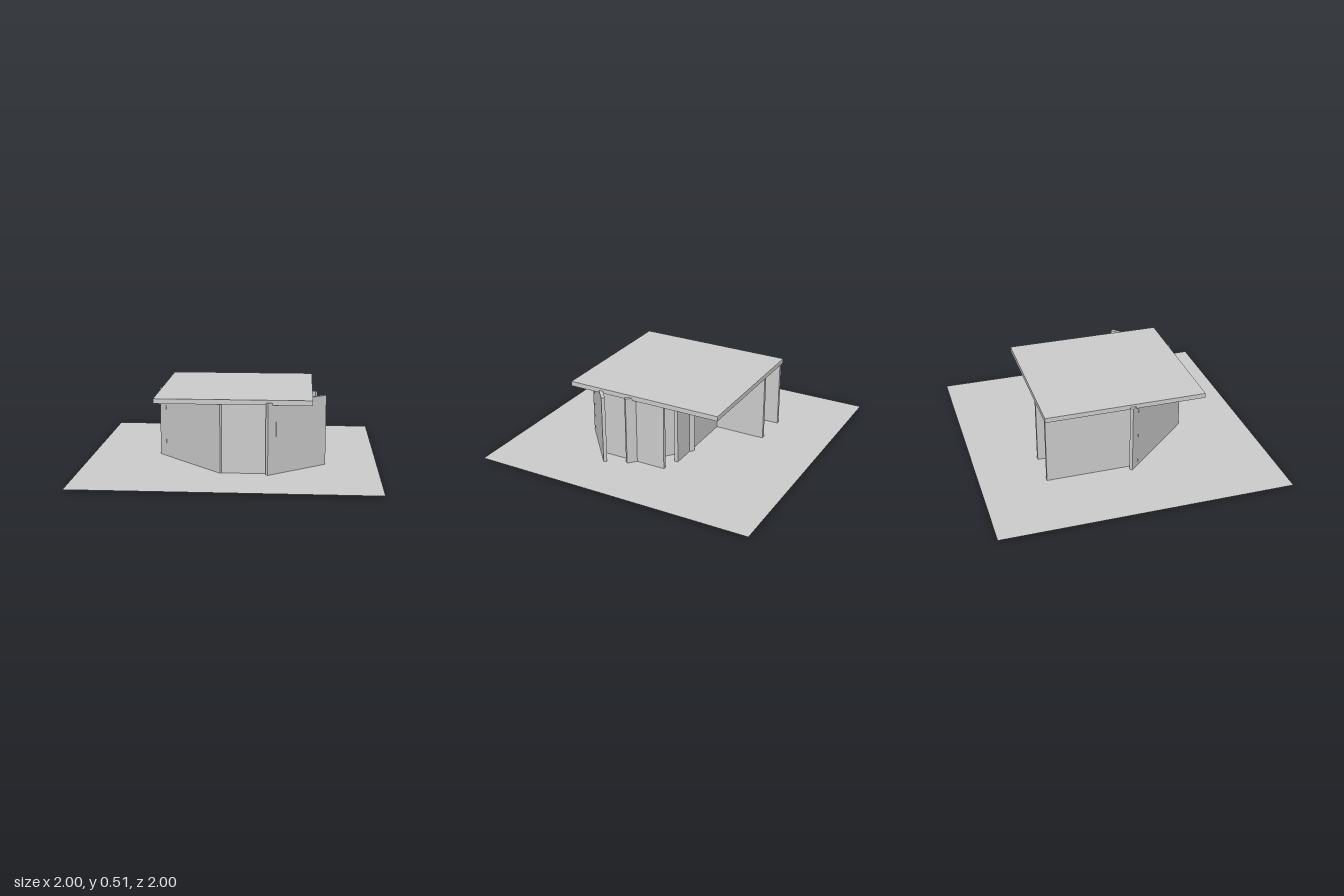
import * as THREE from 'three';

const TOP = 0.497;
const T = 0.024; // wall thickness

export function createModel() {
  const model = new THREE.Group();
  const material = new THREE.MeshStandardMaterial({ color: 0xcccccc, flatShading: true });

  const add = (name, geometry, mat = material) => {
    const mesh = new THREE.Mesh(geometry, mat);
    mesh.name = name;
    model.add(mesh);
    return mesh;
  };

  // Upright slab along a centre line from (x1, z1) to (x2, z2)
  const wall = (name, x1, z1, x2, z2, bottom = 0.012) => {
    const length = Math.hypot(x2 - x1, z2 - z1);
    const mesh = add(name, new THREE.BoxGeometry(length, TOP - bottom, T));
    mesh.position.set((x1 + x2) / 2, (TOP + bottom) / 2, (z1 + z2) / 2);
    mesh.rotation.y = -Math.atan2(z2 - z1, x2 - x1);
  };

  // Ground sheet
  const sheet = material.clone();
  sheet.side = THREE.DoubleSide;
  const ground = add('ground', new THREE.PlaneGeometry(2, 2).rotateX(-Math.PI / 2), sheet);
  ground.position.y = 0.015;

  // Flat roof slab
  const roof = add('roof', new THREE.BoxGeometry(1.045, 0.033, 1.11));
  roof.position.set(0.032, 0.4975, -0.005);

  // Front walls
  wall('frontLeftAngledWall', 0.257, 0.565, 0.64, 0.242);
  wall('frontWall', -0.05, 0.518, 0.318, 0.518);
  wall('frontRightAngledWall', -0.511, 0.022, -0.044, 0.532);

  // Side walls
  wall('rightWall', -0.458, 0.085, -0.458, -0.556);
  wall('leftWall', 0.522, 0.345, 0.522, -0.155, 0);

  // Back and inner walls
  wall('backWall', -0.195, -0.182, 0.41, -0.182, 0);
  wall('backSideWall', -0.195, -0.17, -0.195, -0.556);
  wall('backLeftAngledWall', 0.582, 0.109, 0.207, -0.209);

  return model;
}
